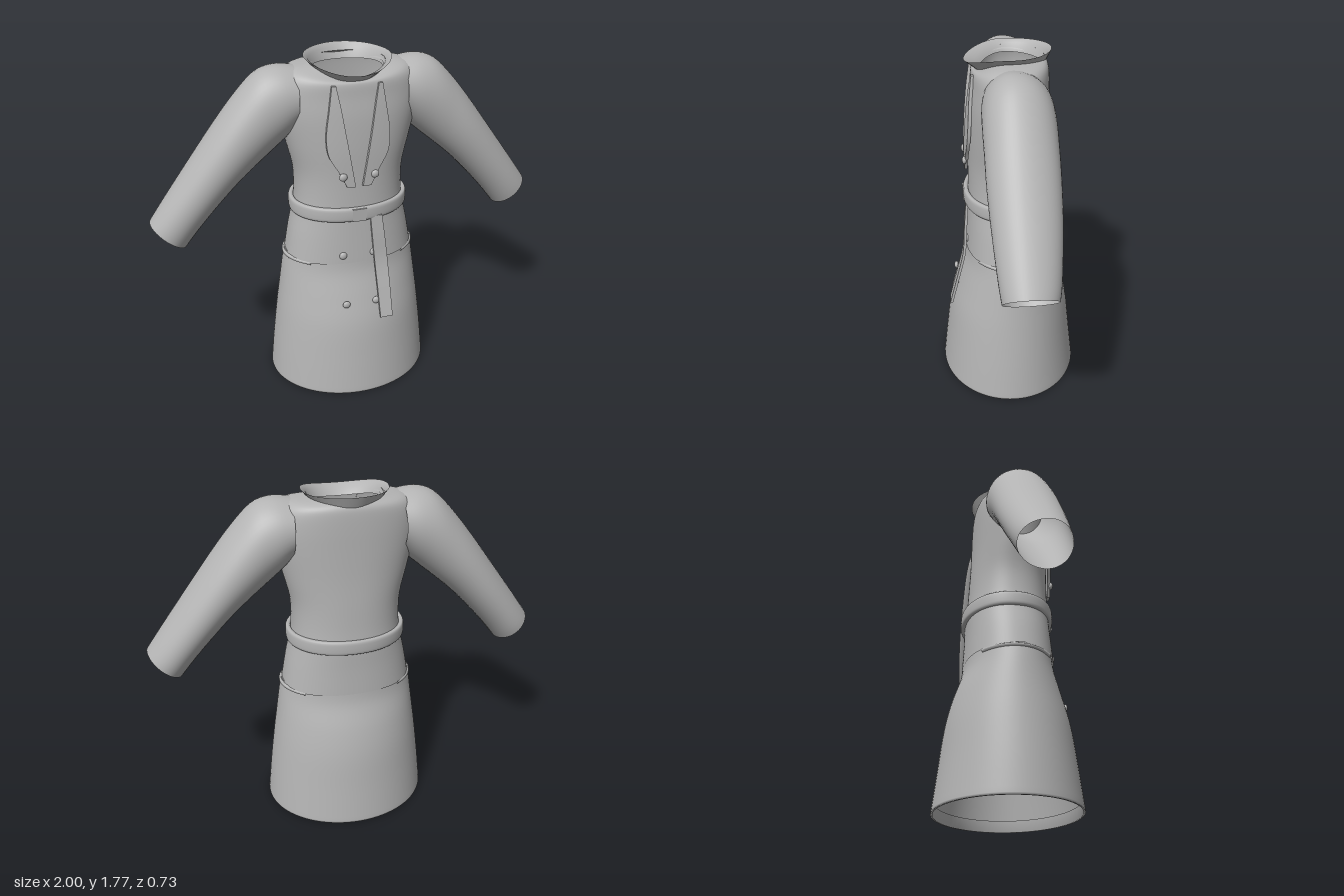
import * as THREE from 'three';

const cloth = new THREE.MeshStandardMaterial({ color: 0xb4b4b4, side: THREE.DoubleSide });
cloth.name = 'grey cloth';

// Catmull-Rom refinement of rows of numbers
function refine(rows, steps) {
  const out = [];
  const at = (i) => rows[Math.min(Math.max(i, 0), rows.length - 1)];
  for (let i = 0; i < rows.length - 1; i++) {
    for (let s = 0; s < steps; s++) {
      const t = s / steps;
      out.push(at(i).map((b, k) => {
        const a = at(i - 1)[k], c = at(i + 1)[k], d = at(i + 2)[k];
        return b + 0.5 * t * (c - a + t * (2 * a - 5 * b + 4 * c - d + t * (3 * (b - c) + d - a)));
      }));
    }
  }
  out.push(rows[rows.length - 1]);
  return out;
}

// Surface through rows; point(row, angle) gives [x, y, z]
function loft(name, rows, point, n = 64, from = 0, to = Math.PI * 2) {
  const closed = to - from > 6.28;
  const cols = closed ? n : n + 1;
  const pos = [], idx = [];
  rows.forEach((row) => {
    for (let j = 0; j < cols; j++) pos.push(...point(row, from + (to - from) * j / n));
  });
  for (let i = 0; i < rows.length - 1; i++) {
    for (let j = 0; j < n; j++) {
      const a = i * cols + j, b = i * cols + (j + 1) % cols;
      idx.push(a, a + cols, b, b, a + cols, b + cols);
    }
  }
  const g = new THREE.BufferGeometry();
  g.setAttribute('position', new THREE.Float32BufferAttribute(pos, 3));
  g.setIndex(idx);
  g.computeVertexNormals();
  const mesh = new THREE.Mesh(g, cloth);
  mesh.name = name;
  return mesh;
}

// Horizontal oval: [y, half width, front z, back z, front rise, back rise]
const oval = (power) => ([y, rx, zf, zb, riseF = 0, riseB = 0], t) => {
  const c = Math.cos(t), s = Math.sin(t), e = 2 / power;
  const z = Math.sign(s) * Math.abs(s) ** e;
  return [
    rx * Math.sign(c) * Math.abs(c) ** e,
    y + (s > 0 ? riseF : riseB) * s * s,
    z * (s > 0 ? zf : zb),
  ];
};

// Bent flat strip; rows from top down: [y, left x, right x, z]
function strip(name, rows, thick, curve = 0) {
  const r = refine(rows, 5);
  const g = new THREE.BoxGeometry(1, 1, thick, 4, r.length - 1, 1);
  const p = g.attributes.position;
  for (let i = 0; i < p.count; i++) {
    const [y, x0, x1, z] = r[Math.round((0.5 - p.getY(i)) * (r.length - 1))];
    const x = x0 + (x1 - x0) * (p.getX(i) + 0.5);
    p.setXYZ(i, x, y, z + p.getZ(i) - curve * x * x);
  }
  g.computeVertexNormals();
  const mesh = new THREE.Mesh(g, cloth);
  mesh.name = name;
  return mesh;
}

export function createModel() {
  const coat = new THREE.Group();
  coat.name = 'coat';

  // Skirt with a folded hem
  const skirt = refine([
    [0.01, 0.44, 0.365, 0.365], [0.2, 0.42, 0.342, 0.342], [0.4, 0.395, 0.314, 0.318],
    [0.55, 0.374, 0.274, 0.285], [0.68, 0.356, 0.235, 0.242], [0.76, 0.342, 0.224, 0.23],
  ], 5);
  skirt.unshift([0.06, 0.425, 0.35, 0.35], [0, 0.43, 0.355, 0.355], [0, 0.44, 0.365, 0.365]);
  coat.add(loft('skirt', skirt, oval(2), 80));

  // Bodice from hip to neckline
  const bodice = refine([
    [0.745, 0.338, 0.226, 0.232, 0, 0], [0.88, 0.314, 0.216, 0.226, 0, 0],
    [1.0, 0.287, 0.208, 0.224, 0, 0], [1.1, 0.276, 0.204, 0.215, 0, 0],
    [1.22, 0.28, 0.202, 0.208, 0, 0], [1.36, 0.312, 0.202, 0.2, 0, 0],
    [1.5, 0.342, 0.196, 0.196, 0, 0], [1.6, 0.348, 0.184, 0.194, 0, 0],
    [1.68, 0.33, 0.178, 0.19, -0.02, 0], [1.722, 0.28, 0.168, 0.183, -0.045, -0.01],
    [1.735, 0.18, 0.15, 0.17, -0.06, -0.005],
  ], 4);
  coat.add(loft('bodice', bodice, oval(2.25), 80));

  // Flared collar, turned over at the top edge
  coat.add(loft('collar', [
    [1.715, 0.172, 0.16, 0.175, -0.04, -0.02],
    [1.758, 0.21, 0.212, 0.206, -0.043, 0.008],
  ], oval(2)));
  coat.add(loft('collarLining', [
    [1.758, 0.21, 0.212, 0.206, -0.043, 0.008],
    [1.742, 0.185, 0.165, 0.185, -0.045, 0],
    [1.7, 0.17, 0.137, 0.166, -0.03, -0.01],
  ], oval(2)));

  // Sleeves: [top x, top y, bottom x, bottom y, front z, back z]
  const sleeveRows = refine([
    [0.26, 1.728, 0.27, 1.44, 0.14, 0.165], [0.35, 1.737, 0.315, 1.39, 0.148, 0.176],
    [0.44, 1.708, 0.39, 1.325, 0.15, 0.18], [0.54, 1.61, 0.465, 1.262, 0.148, 0.18],
    [0.65, 1.475, 0.56, 1.178, 0.146, 0.178], [0.78, 1.303, 0.665, 1.07, 0.136, 0.17],
    [0.9, 1.143, 0.752, 0.972, 0.124, 0.156], [0.965, 1.055, 0.805, 0.907, 0.115, 0.145],
    [0.998, 1.01, 0.835, 0.868, 0.108, 0.135],
  ], 4);
  for (const side of [1, -1]) {
    const ring = ([tx, ty, bx, by, zf, zb], t) => {
      const c = Math.cos(t), s = -side * Math.sin(t);
      return [
        side * ((tx + bx) / 2 + (tx - bx) / 2 * c),
        (ty + by) / 2 + (ty - by) / 2 * c,
        s * (s > 0 ? zf : zb),
      ];
    };
    coat.add(loft(side > 0 ? 'leftSleeve' : 'rightSleeve', sleeveRows, ring, 48));

    // Pocket seam wrapped round the hip
    const mid = side > 0 ? 0 : Math.PI;
    coat.add(loft('pocketSeam', [
      [0.732, 0.344, 0.228, 0.234], [0.737, 0.354, 0.237, 0.243],
      [0.748, 0.352, 0.236, 0.242], [0.758, 0.335, 0.224, 0.228],
    ], oval(2), 24, mid - 0.8, mid + 0.8));

    // Lapel
    const lapel = [
      [1.667, 0.102, 0.122, 0.182], [1.56, 0.082, 0.138, 0.197], [1.44, 0.063, 0.155, 0.208],
      [1.34, 0.046, 0.147, 0.214], [1.25, 0.031, 0.098, 0.216], [1.172, 0.018, 0.06, 0.217],
    ].map(([y, a, b, z]) => {
      const xs = [side * a - 0.004, side * b - 0.004].sort((p, q) => p - q);
      return [y, xs[0], xs[1], z];
    });
    coat.add(strip(side > 0 ? 'leftLapel' : 'rightLapel', lapel, 0.016, 0.6));

    // Buttons in two columns
    for (const [y, z] of [[1.23, 0.222], [0.79, 0.218], [0.53, 0.279]]) {
      const button = new THREE.Mesh(new THREE.SphereGeometry(0.02, 16, 12), cloth);
      button.name = 'button';
      button.scale.z = 0.6;
      button.position.set(side * 0.08 - 0.005, y, z);
      coat.add(button);
    }
  }

  // Rounded belt: a closed profile carried round the waist
  const profile = [];
  for (let i = 0; i <= 20; i++) {
    const a = -Math.PI * 2 * i / 20 + Math.PI;
    const out = -0.014 * Math.sign(Math.cos(a)) * Math.abs(Math.cos(a)) ** 0.6;
    const up = 0.037 * Math.sign(Math.sin(a)) * Math.abs(Math.sin(a)) ** 0.6;
    profile.push([1.02 - up, 0.293 - out, 0.218 - out, 0.233 - out]);
  }
  profile.reverse();
  coat.add(loft('belt', profile, oval(2.1), 80));

  // Belt keeper and hanging tail
  const keeper = new THREE.Mesh(new THREE.BoxGeometry(0.07, 0.066, 0.009), cloth);
  keeper.name = 'beltKeeper';
  keeper.position.set(-0.004, 1.02, 0.23);
  coat.add(keeper);
  coat.add(strip('beltTail', [
    [1.0, 0.055, 0.115, 0.217], [0.88, 0.064, 0.13, 0.227], [0.74, 0.075, 0.144, 0.238],
    [0.6, 0.082, 0.15, 0.272], [0.442, 0.088, 0.154, 0.314],
  ], 0.014));

  return coat;
}
